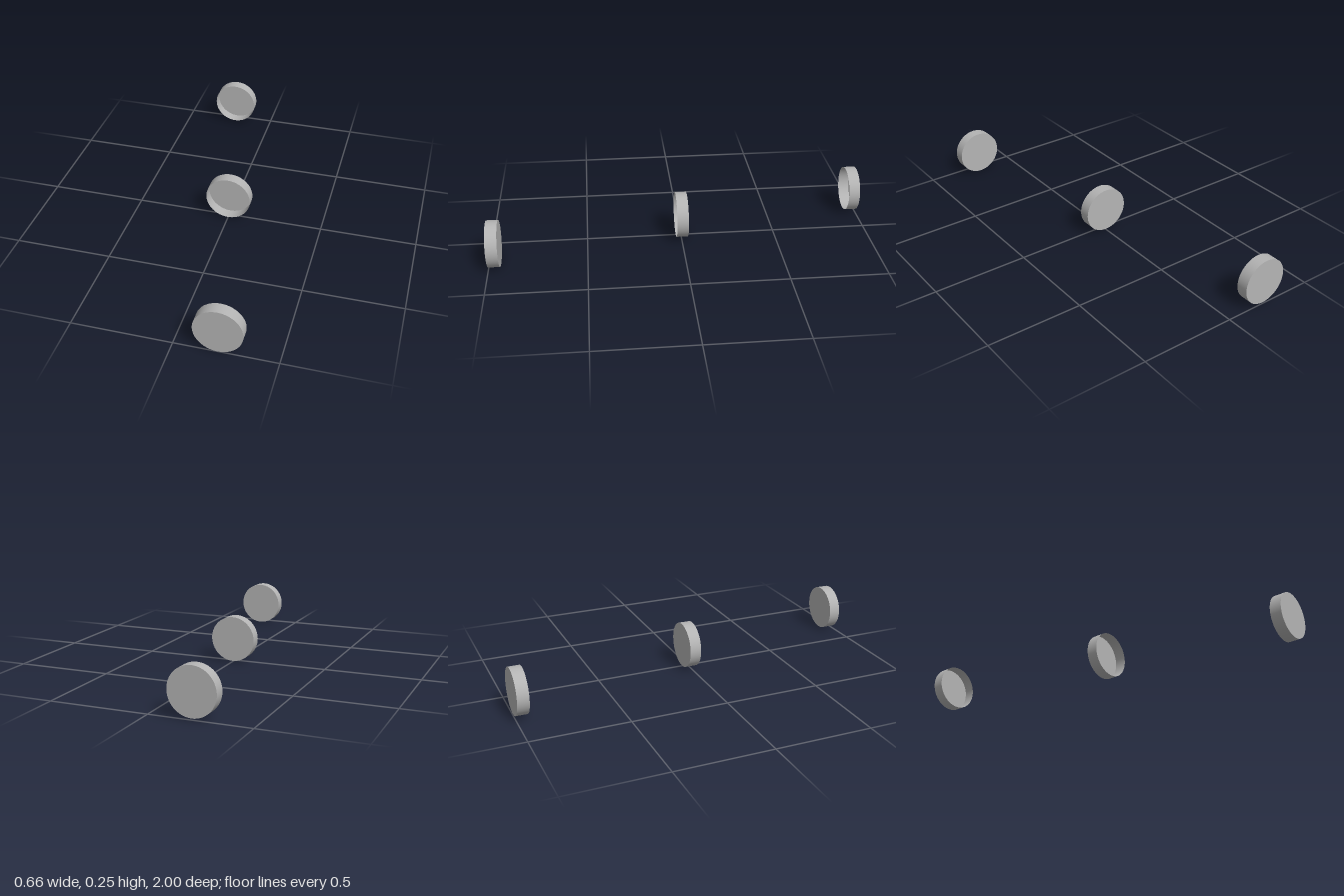
import * as THREE from 'three';

const RADIUS = 0.119;
const DEPTH = 0.06;
const SEGMENTS = 64;

export function createModel() {
  const model = new THREE.Group();
  model.name = 'discRow';

  const grey = new THREE.MeshStandardMaterial({ color: 0xb4b4b4, side: THREE.DoubleSide });
  grey.name = 'plain grey';

  // Short round wall along z
  const wallGeometry = new THREE.CylinderGeometry(RADIUS, RADIUS, DEPTH, SEGMENTS, 1, true);
  wallGeometry.rotateX(Math.PI / 2);
  const capGeometry = new THREE.CircleGeometry(RADIUS, SEGMENTS);

  function addDisc(name, x, y, z, closedFront) {
    const disc = new THREE.Group();
    disc.name = name;
    disc.position.set(x, y, z);

    const wall = new THREE.Mesh(wallGeometry, grey);
    wall.name = 'wall';
    disc.add(wall);

    const back = new THREE.Mesh(capGeometry, grey);
    back.name = 'backCap';
    back.rotation.y = Math.PI;
    back.position.z = -DEPTH / 2;
    disc.add(back);

    if (closedFront) {
      const front = new THREE.Mesh(capGeometry, grey);
      front.name = 'frontCap';
      front.position.z = DEPTH / 2;
      disc.add(front);
    }
    model.add(disc);
  }

  // Two open cups behind one closed disc
  addDisc('backCup', -0.213, 0.129, -0.97, false);
  addDisc('middleCup', 0, 0.125, -0.002, false);
  addDisc('frontDisc', 0.213, 0.122, 0.97, true);

  return model;
}
